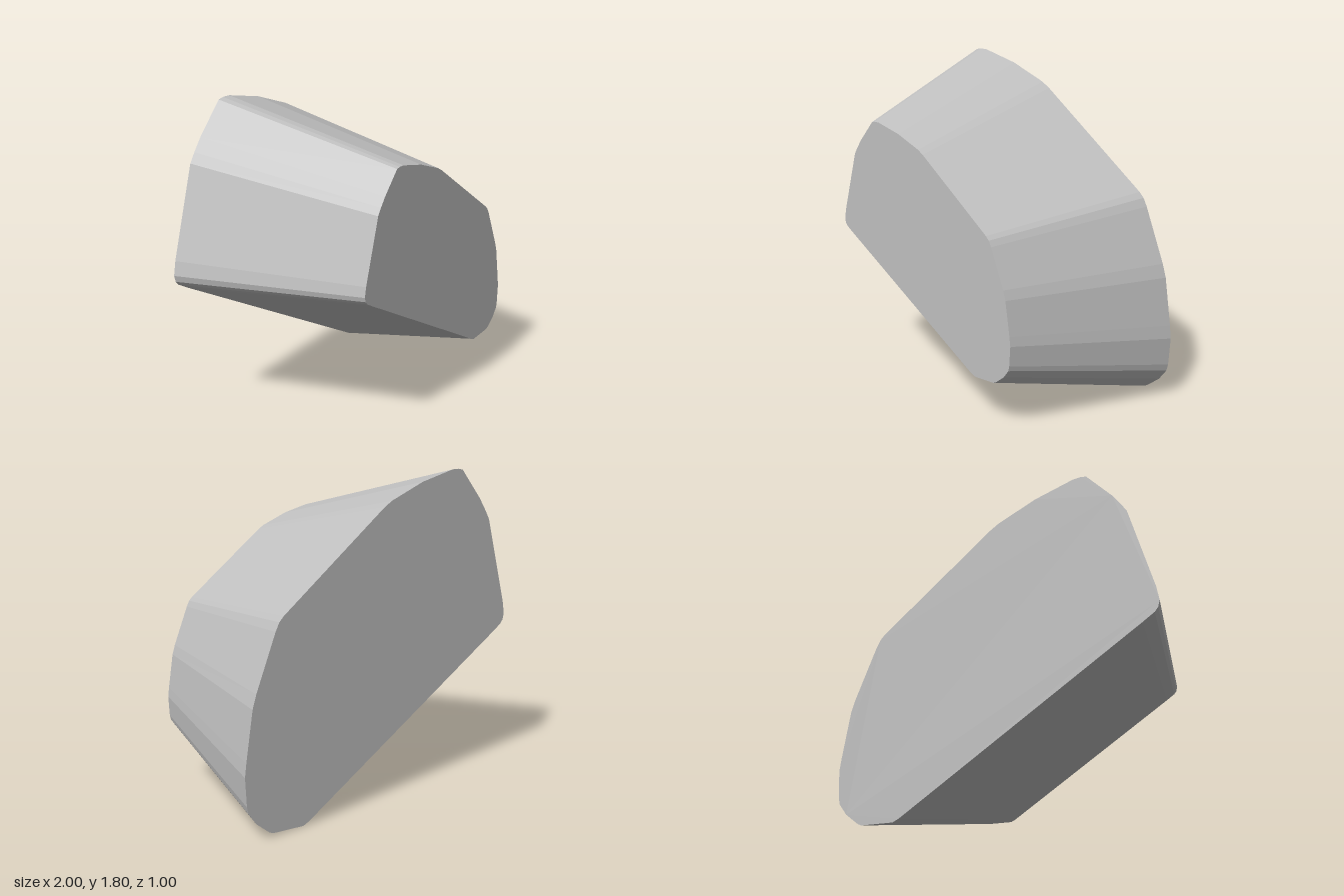
import * as THREE from 'three';

// Outline of the wide back face, clockwise from the lower left corner
const outline = [
  [-0.99, 0.873], [-1, 0.91], [-0.985, 0.99], [-0.835, 1.495], [-0.80, 1.55], [-0.75, 1.62],
  [-0.595, 1.795], [-0.56, 1.803], [-0.51, 1.803], [-0.27, 1.753], [-0.03, 1.67], [0.025, 1.64],
  [0.735, 1.158], [0.765, 1.13], [0.79, 1.085], [0.92, 0.785], [0.945, 0.71], [0.99, 0.44],
  [1, 0.365], [0.99, 0.205], [0.98, 0.165], [0.93, 0.098], [0.845, 0.03], [0.82, 0.018],
  [0.61, 0], [0.57, 0.015], [-0.9, 0.81], [-0.97, 0.85],
];

export function createModel() {
  const group = new THREE.Group();
  group.name = 'taperedBlock';

  const stone = new THREE.MeshStandardMaterial({ color: 0xc0c0c0, flatShading: true });
  stone.name = 'light grey';

  const shape = new THREE.Shape(outline.map(([x, y]) => new THREE.Vector2(x, y)));
  const geometry = new THREE.ExtrudeGeometry(shape, { depth: 1, bevelEnabled: false });
  geometry.translate(0, 0, -0.5);

  // Taper the block: shrink the front face towards its own centre
  const pos = geometry.attributes.position;
  for (let i = 0; i < pos.count; i++) {
    if (pos.getZ(i) > 0) {
      pos.setXY(i, pos.getX(i) * 0.698 + 0.052, pos.getY(i) * 0.7 + 0.267);
    }
  }
  geometry.computeVertexNormals();

  const block = new THREE.Mesh(geometry, stone);
  block.name = 'block';
  group.add(block);
  return group;
}
